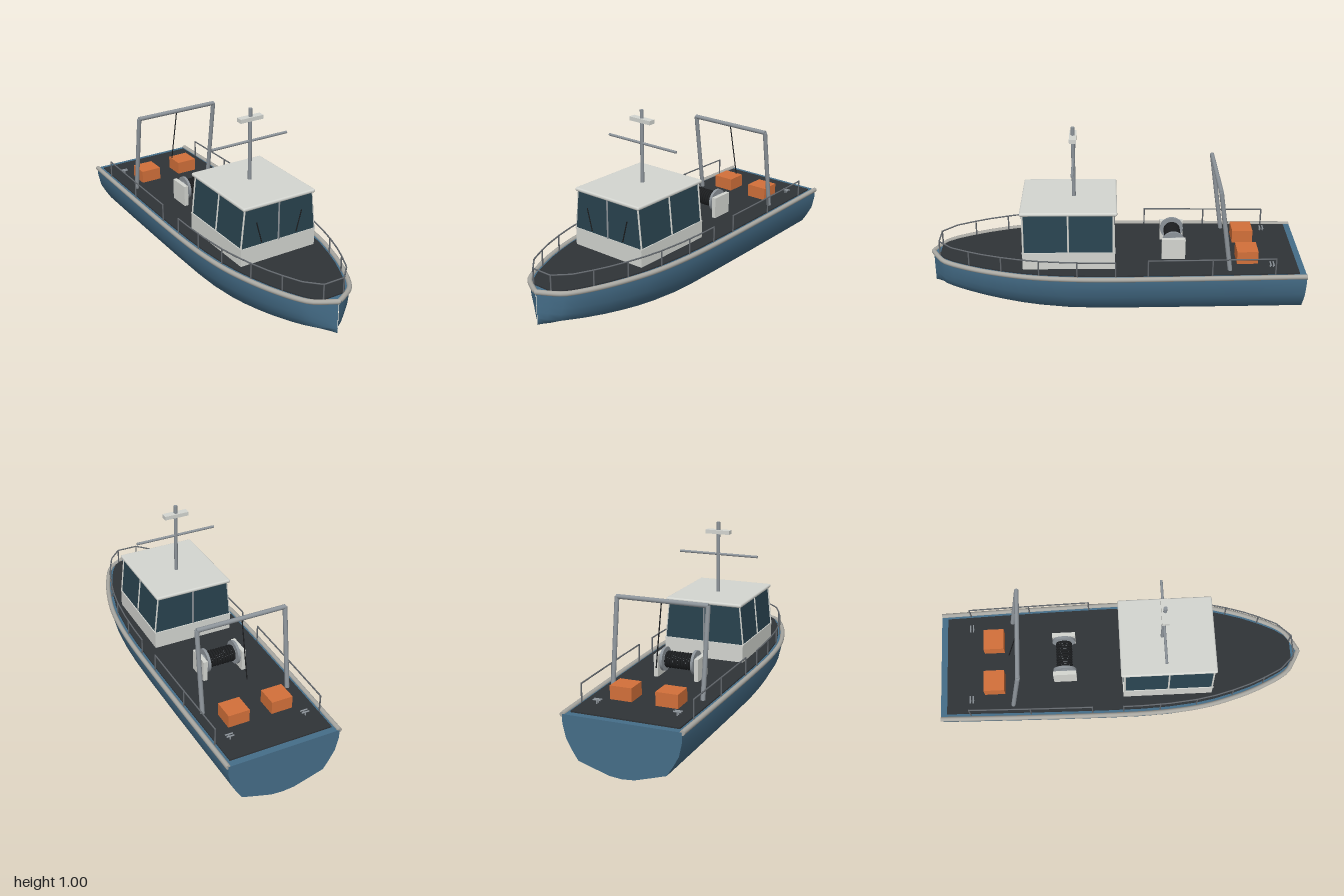
import * as THREE from 'three';
import { RoundedBoxGeometry } from 'three/addons/geometries/RoundedBoxGeometry.js';

const mat = (color, side = THREE.FrontSide) => new THREE.MeshStandardMaterial({ color, side });
const BLUE = mat(0x456d88), DECK = mat(0x2f3337), GLASS = mat(0x29434f), WHITE = mat(0xd3d5d0);
const METAL = mat(0x8d949a), RUB = mat(0xa9a8a2), DARK = mat(0x1c1e20), ORANGE = mat(0xd2703a), RAIL = mat(0x63686d);
const V = (x, y, z) => new THREE.Vector3(x, y, z);
const SHEER = 0.28, FLOOR = 0.287;

// Half beam at the sheer line, as [z, half width]
const BEAM = [[-1, 0.303], [-0.7, 0.311], [-0.4, 0.318], [-0.1, 0.323], [0.1, 0.323], [0.25, 0.317], [0.4, 0.302], [0.5, 0.284],
  [0.6, 0.258], [0.7, 0.226], [0.8, 0.185], [0.87, 0.15], [0.92, 0.115], [0.96, 0.055], [0.988, 0.002]];
// Half section as [fraction of beam, fraction of height], sheer to keel
const SECTION = [[1, 1], [1, 0.84], [0.945, 0.57], [0.85, 0.38], [0.745, 0.2], [0.48, 0.11], [0.21, 0.02], [0, 0]];

function beamAt(z) {
  const i = Math.max(1, BEAM.findIndex(b => b[0] >= z));
  const [a, b] = [BEAM[i - 1], BEAM[i]];
  return a[1] + (b[1] - a[1]) * (z - a[0]) / (b[0] - a[0]);
}
const keelAt = z => 0.003 + (z > 0.15 ? 0.1 * ((z - 0.15) / 0.85) ** 1.6 : 0);

function sectionAt(z) {
  const k = keelAt(z), w = beamAt(z);
  const half = SECTION.map(([x, y]) => [x * w, k + y * (SHEER - k)]);
  return [...half, ...half.slice(0, -1).reverse().map(([x, y]) => [-x, y])];
}

function hullSides() {
  const pos = [], idx = [], n = SECTION.length * 2 - 1;
  BEAM.forEach(([z], i) => {
    sectionAt(z).forEach(([x, y], j) => {
      pos.push(x, y, z);
      if (i < BEAM.length - 1 && j < n - 1) {
        const a = i * n + j, b = a + n;
        idx.push(a, b, a + 1, b, b + 1, a + 1);
      }
    });
  });
  const g = new THREE.BufferGeometry();
  g.setAttribute('position', new THREE.Float32BufferAttribute(pos, 3));
  g.setIndex(idx);
  g.computeVertexNormals();
  return g;
}

// Plan outline inset from the sheer, between two z limits
function planShape(inset, z0, z1) {
  const zs = [z0, ...BEAM.map(b => b[0]).filter(z => z > z0 && z < z1), z1];
  const right = zs.map(z => new THREE.Vector2(Math.max(0.002, beamAt(z) - inset), -z));
  return new THREE.Shape([...right, ...right.slice().reverse().map(p => new THREE.Vector2(-p.x, p.y))]);
}

export function createModel() {
  const model = new THREE.Group();
  const add = (name, geo, m, x = 0, y = 0, z = 0, parent = model) => {
    const mesh = new THREE.Mesh(geo, m);
    mesh.name = name;
    mesh.position.set(x, y, z);
    parent.add(mesh);
    return mesh;
  };
  const box = (name, m, w, h, d, x, y, z) => add(name, new THREE.BoxGeometry(w, h, d), m, x, y, z);
  const pipe = (name, m, a, b, r, sides = 12) => {
    const mesh = add(name, new THREE.CylinderGeometry(r, r, a.distanceTo(b), sides), m);
    mesh.position.copy(a).lerp(b, 0.5);
    mesh.quaternion.setFromUnitVectors(V(0, 1, 0), b.clone().sub(a).normalize());
    return mesh;
  };
  const polyline = (name, m, pts, r) => {
    const path = new THREE.CurvePath();
    for (let i = 1; i < pts.length; i++) path.add(new THREE.LineCurve3(pts[i - 1], pts[i]));
    return add(name, new THREE.TubeGeometry(path, pts.length * 6, r, 8), m);
  };

  // Hull, transom and covering board
  add('hull', hullSides(), BLUE);
  const transom = new THREE.Shape(sectionAt(-1).map(p => new THREE.Vector2(...p)));
  add('transom', new THREE.ShapeGeometry(transom), BLUE, 0, 0, -1).rotation.y = Math.PI;
  add('coveringBoard', new THREE.ShapeGeometry(planShape(0, -1, 0.988)), BLUE, 0, SHEER, 0).rotation.x = -Math.PI / 2;
  add('deck', new THREE.ExtrudeGeometry(planShape(0.026, -0.965, 0.945), { depth: 0.008, bevelEnabled: false }), DECK,
    0, FLOOR - 0.008, 0).rotation.x = -Math.PI / 2;

  // Rub rail along each side, joined at the stem
  for (const s of [1, -1]) {
    const pts = BEAM.map(([z, w]) => V(s * w, 0.278, z));
    add('rubRail', new THREE.TubeGeometry(new THREE.CatmullRomCurve3(pts), 70, 0.013, 10), RUB);
    add('rubRailEnd', new THREE.CircleGeometry(0.013, 10), RUB, s * 0.303, 0.278, -1).rotation.y = Math.PI;
  }
  add('stemCap', new THREE.SphereGeometry(0.013, 10, 8), RUB, 0, 0.278, 0.987);

  // Wheelhouse: base, tapered window band, frames and roof
  box('cabinBase', WHITE, 0.45, 0.1, 0.485, 0, 0.332, 0.2445);
  const band = new THREE.Shape([[-0.222, 0.38], [0.222, 0.38], [0.2, 0.592], [-0.2, 0.592]].map(p => new THREE.Vector2(...p)));
  add('windows', new THREE.ExtrudeGeometry(band, { depth: 0.48, bevelEnabled: false }), GLASS, 0, 0, 0.006);
  for (const s of [1, -1]) {
    for (const z of [0.01, 0.246, 0.482]) {
      pipe('sideMullion', WHITE, V(s * 0.223, 0.38, z), V(s * 0.201, 0.592, z), 0.005, 8);
    }
    pipe('wiper', DARK, V(s * 0.105, 0.395, 0.49), V(s * 0.136, 0.512, 0.49), 0.003, 6);
  }
  pipe('frontMullion', METAL, V(0, 0.38, 0.486), V(0, 0.592, 0.486), 0.005, 8);
  pipe('rearMullion', METAL, V(0, 0.38, 0.006), V(0, 0.592, 0.006), 0.005, 8);
  box('windowSill', WHITE, 0.454, 0.006, 0.489, 0, 0.381, 0.2445);
  add('roof', new RoundedBoxGeometry(0.432, 0.02, 0.506, 3, 0.009), WHITE, 0, 0.599, 0.243);

  // Mast with yard and radar
  pipe('mast', METAL, V(0, 0.6, 0.218), V(0, 0.998, 0.218), 0.01);
  pipe('yard', METAL, V(-0.226, 0.821, 0.218), V(0.226, 0.821, 0.218), 0.007);
  box('radar', WHITE, 0.135, 0.021, 0.037, 0, 0.944, 0.218);

  // Stern gantry with hanging wire
  for (const s of [1, -1]) {
    pipe('gantryLeg', METAL, V(s * 0.241, 0.28, -0.603), V(s * 0.241, 0.738, -0.536), 0.012);
  }
  pipe('gantryBeam', METAL, V(-0.243, 0.738, -0.536), V(0.243, 0.738, -0.536), 0.012);
  pipe('gantryWire', DARK, V(0, 0.735, -0.54), V(0, 0.42, -0.61), 0.003, 6);

  // Winch: cheeks, flanges, drum and rope coils
  for (const s of [1, -1]) {
    box('winchCheek', WHITE, 0.023, 0.118, 0.126, s * 0.111, 0.345, -0.312);
    pipe('winchFlange', METAL, V(s * 0.078, 0.368, -0.312), V(s * 0.092, 0.368, -0.312), 0.063, 28);
  }
  pipe('winchDrum', METAL, V(-0.105, 0.368, -0.312), V(0.105, 0.368, -0.312), 0.036, 20);
  for (let i = 0; i < 10; i++) {
    add('ropeCoil', new THREE.TorusGeometry(0.038, 0.007, 6, 24), DARK, -0.0675 + i * 0.015, 0.368, -0.312).rotation.y = Math.PI / 2;
  }

  for (const s of [1, -1]) {
    // Fish crates
    box('crate', ORANGE, 0.116, 0.07, 0.112, s * 0.12, FLOOR + 0.035, -0.702);
    // Mooring cleats
    for (const z of [-0.82, -0.836]) {
      pipe('cleatHorn', METAL, V(s * 0.208 - 0.02, 0.305, z), V(s * 0.208 + 0.02, 0.305, z), 0.004, 8);
      pipe('cleatPost', METAL, V(s * 0.208, FLOOR - 0.004, z), V(s * 0.208, 0.305, z), 0.004, 8);
    }
  }

  // Handrails follow the sheer
  const railPoint = (s, z, y) => V(s * (beamAt(z) - 0.018), y, z);
  const bowZ = [0, 0.1, 0.25, 0.4, 0.5, 0.6, 0.7, 0.775, 0.87, 0.945];
  polyline('bowRail', RAIL, [...bowZ.map(z => railPoint(1, z, 0.367)),
    ...bowZ.slice().reverse().map(z => railPoint(-1, z, 0.367))], 0.004);
  for (const s of [1, -1]) {
    polyline('sternRail', RAIL, [-0.17, -0.4, -0.7, -0.835].map(z => railPoint(s, z, 0.377)), 0.004);
    for (const z of [0, 0.2, 0.4, 0.6, 0.775, 0.945]) {
      pipe('bowStanchion', RAIL, railPoint(s, z, SHEER), railPoint(s, z, 0.369), 0.004, 8);
    }
    for (const z of [-0.17, -0.505, -0.835]) {
      pipe('sternStanchion', RAIL, railPoint(s, z, SHEER), railPoint(s, z, 0.379), 0.004, 8);
    }
  }
  return model;
}
